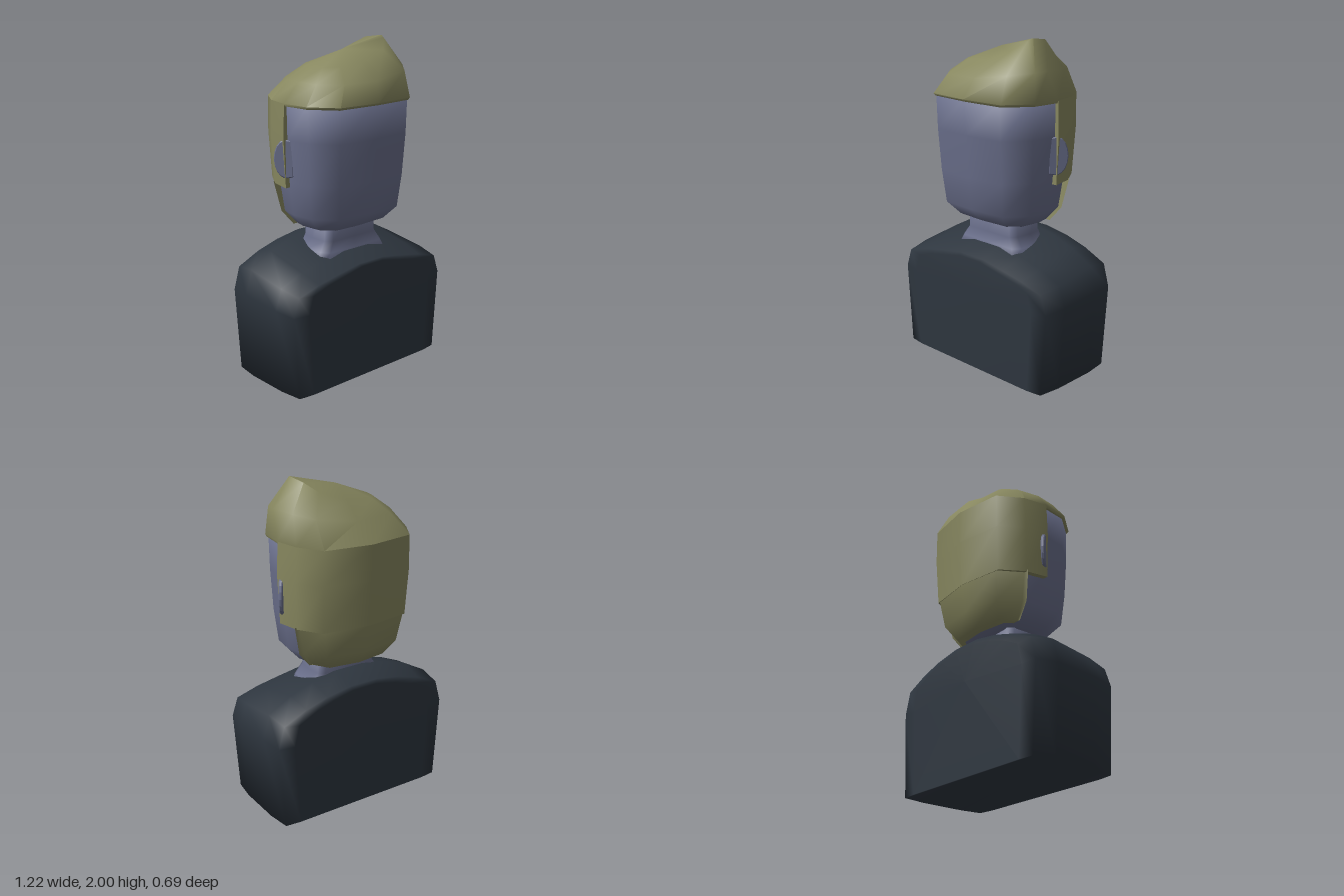
import * as THREE from 'three';
import { toCreasedNormals } from 'three/addons/utils/BufferGeometryUtils.js';

const skin = new THREE.MeshStandardMaterial({ color: 0x696e8a });
const hairMat = new THREE.MeshStandardMaterial({ color: 0x87875f });
const shirt = new THREE.MeshStandardMaterial({ color: 0x2e363f });

// Closed skin over a stack of equal-length loops; ends are fanned to a centre point
function loft(loops, crease, endPoint) {
  const n = loops[0].length, last = loops.length - 1, pos = loops.flat(2), idx = [];
  const centre = (loop) => [0, 1, 2].map((k) => loop.reduce((s, p) => s + p[k], 0) / n);
  pos.push(...centre(loops[0]), ...(endPoint || centre(loops[last])));
  const c0 = n * (last + 1), c1 = c0 + 1;
  for (let i = 0; i < n; i++) {
    const j = (i + 1) % n;
    for (let r = 0; r < last; r++) {
      const a = r * n + i, b = r * n + j;
      idx.push(a, b, b + n, a, b + n, a + n);
    }
    idx.push(c0, j, i, c1, last * n + i, last * n + j);
  }
  // Turn the faces outward if the signed volume is negative
  const v = (i) => new THREE.Vector3().fromArray(pos, i * 3);
  let volume = 0;
  for (let i = 0; i < idx.length; i += 3) volume += v(idx[i]).dot(v(idx[i + 1]).cross(v(idx[i + 2])));
  if (volume < 0) idx.reverse();
  const g = new THREE.BufferGeometry();
  g.setAttribute('position', new THREE.Float32BufferAttribute(pos, 3));
  g.setIndex(idx);
  if (crease) return toCreasedNormals(g, crease);
  g.computeVertexNormals();
  return g;
}

// Unit plan outlines, mirrored in x: right half runs from front centre to back centre
const mirrorPlan = (half) => [...half, ...half.slice(1, -1).reverse().map(([x, z]) => [-x, z])];
const headPlan = mirrorPlan([[0, 1], [0.66, 0.94], [0.95, 0.5], [1, 0], [0.93, -0.44], [0.71, -0.87], [0, -1]]);
const neckPlan = mirrorPlan([[0, 1], [0.8, 1], [0.95, 0.7], [1, 0], [0.95, -0.7], [0.8, -1], [0, -1]]);
const ring = (plan, y, w, front, back) => plan.map(([x, z]) => [x * w, y, z * (z > 0 ? front : back)]);

// Torso section at depth z: shoulders drop toward the front
function torsoSection(z, drop, k) {
  const half = [[0.575, 0, 0], [0.61, 0.53, 0.2], [0.57, 0.68, 0.5], [0.42, 0.76, 0.8], [0.27, 0.812, 1], [0.1, 0.84, 1]]
    .map(([x, y, f]) => [x * k, y - drop * f, z]);
  return [...half, ...half.map(([x, y]) => [-x, y, z]).reverse()];
}

export function createModel() {
  const model = new THREE.Group();
  const add = (name, geometry, material, parent = model) => {
    const mesh = new THREE.Mesh(geometry, material);
    mesh.name = name;
    parent.add(mesh);
    return mesh;
  };

  // Torso
  add('torso', loft([
    torsoSection(-0.285, 0.07, 0.8), torsoSection(-0.275, 0.045, 0.967), torsoSection(-0.13, 0, 1),
    torsoSection(0.15, 0.075, 1), torsoSection(0.29, 0.125, 0.967), torsoSection(0.303, 0.14, 0.8),
  ]), shirt);

  // Neck flaring into the collar
  add('neck', loft([
    [0.68, 0.3, 0.195, 0.17], [0.77, 0.25, 0.155, 0.13], [0.83, 0.207, 0.14, 0.11], [1.0, 0.2, 0.14, 0.11],
  ].map((r) => ring(neckPlan, ...r))), skin);

  // Head
  add('head', loft([
    [0.885, 0.2, 0.13, 0.12], [0.92, 0.28, 0.21, 0.19], [1.0, 0.35, 0.285, 0.25],
    [1.2, 0.375, 0.307, 0.29], [1.45, 0.387, 0.325, 0.31], [1.68, 0.39, 0.332, 0.32],
  ].map((r) => ring(headPlan, ...r))), skin);

  // Ears: thin D-shaped plates angled backward
  const earShape = new THREE.Shape();
  earShape.moveTo(0, -0.1);
  earShape.lineTo(0.045, -0.108);
  earShape.quadraticCurveTo(0.1, -0.09, 0.105, 0);
  earShape.quadraticCurveTo(0.1, 0.09, 0.045, 0.108);
  earShape.lineTo(0, 0.1);
  const earGeometry = new THREE.ExtrudeGeometry(earShape, {
    depth: 0.012, bevelThickness: 0.006, bevelSize: 0.006, bevelSegments: 1, curveSegments: 4,
  });
  for (const side of [1, -1]) {
    const ear = new THREE.Group();
    ear.name = side > 0 ? 'leftEar' : 'rightEar';
    const plate = add('earPlate', earGeometry, skin, ear);
    plate.position.set(0.363, 1.34, 0.02);
    plate.rotation.y = 0.92;
    ear.scale.x = side;
    model.add(ear);
  }

  // Hair top: rings rising to an off-centre peak on the left
  const dome = (cx, w, cz, d, height) =>
    headPlan.map(([x, z]) => [cx + x * w, height(x), cz + z * d + (x === 1 ? 0.05 : 0)]);
  add('hairTop', loft([
    ring(headPlan, 1.645, 0.402, 0.33, 0.335),
    ring(headPlan, 1.66, 0.408, 0.342, 0.345),
    dome(0.035, 0.355, 0.02, 0.27, (x) => 1.775 + 0.055 * Math.max(0, x)),
    dome(0.03, 0.25, 0.02, 0.16, (x) => 1.87 + (x > 0 ? 0.13 * x * x : 0.02 * x)),
  ], 1.1, [0, 1.935, 0.03]), hairMat);

  // Back hair: solid half blocks stepping in below the sideburns
  const backLoop = (y, w, back, edge) =>
    ring(headPlan, y, w, 0, back).slice(3, 10).map(([x, h, z]) => [x, h, Math.min(z, edge)]);
  add('hairBack', loft([
    [1.17, 0.403, 0.318, 0], [1.45, 0.415, 0.34, 0], [1.66, 0.408, 0.345, 0],
  ].map((r) => backLoop(...r)), 1.1), hairMat);
  add('hairNape', loft([
    [0.908, 0.27, 0.225, -0.1], [1.0, 0.347, 0.288, -0.115], [1.18, 0.386, 0.318, -0.135],
  ].map((r) => backLoop(...r)), 1.1), hairMat);

  return model;
}
